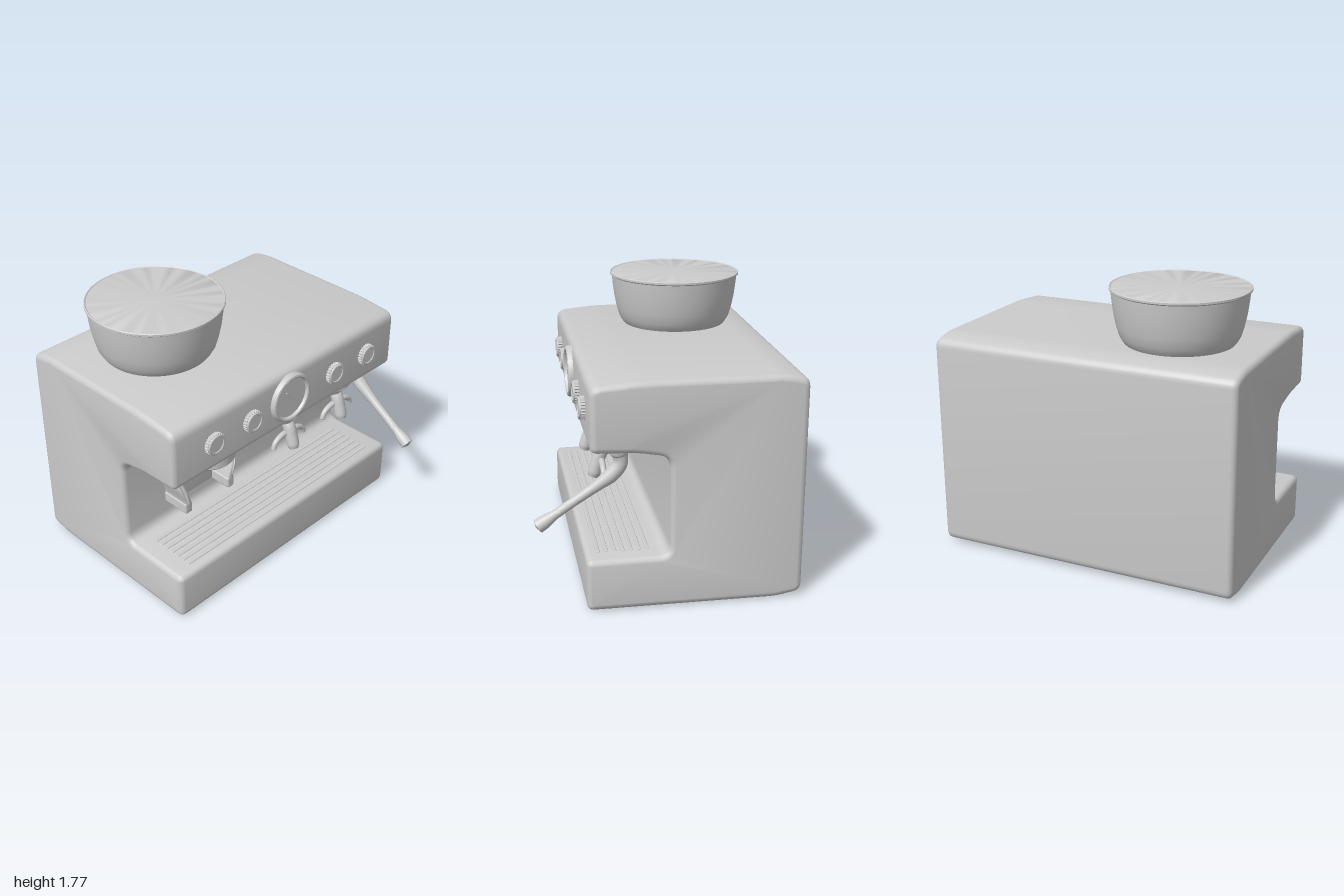
import * as THREE from 'three';
import { toCreasedNormals } from 'three/addons/utils/BufferGeometryUtils.js';
import { RoundedBoxGeometry } from 'three/addons/geometries/RoundedBoxGeometry.js';

const grey = new THREE.MeshStandardMaterial({ color: 0xcccccc });

function add(parent, name, geometry, x = 0, y = 0, z = 0) {
  const mesh = new THREE.Mesh(geometry, grey);
  mesh.name = name;
  mesh.position.set(x, y, z);
  parent.add(mesh);
  return mesh;
}

function group(parent, name, x = 0, y = 0, z = 0) {
  const g = new THREE.Group();
  g.name = name;
  g.position.set(x, y, z);
  parent.add(g);
  return g;
}

// Closed shape from [x, y, cornerRadius] points
function roundedShape(points) {
  const shape = new THREE.Shape();
  points.forEach(([x, y, r = 0], i) => {
    const p = new THREE.Vector2(x, y);
    const toward = (q) => new THREE.Vector2(q[0], q[1]).sub(p).setLength(r).add(p);
    const a = toward(points[(i + points.length - 1) % points.length]);
    const b = toward(points[(i + 1) % points.length]);
    if (i === 0) shape.moveTo(a.x, a.y);
    else shape.lineTo(a.x, a.y);
    if (r > 0) shape.quadraticCurveTo(x, y, b.x, b.y);
  });
  shape.closePath();
  return shape;
}

// Bevelled extrusion centred on its own depth
function slab(shape, depth, bevel, segments = 3) {
  const g = new THREE.ExtrudeGeometry(shape, {
    depth: depth - 2 * bevel, bevelEnabled: bevel > 0, bevelSize: bevel,
    bevelThickness: bevel, bevelOffset: -bevel, bevelSegments: segments, curveSegments: 5,
  });
  g.translate(0, 0, bevel - depth / 2);
  return toCreasedNormals(g, 0.7);
}

function lathe(points, segments = 48) {
  return toCreasedNormals(new THREE.LatheGeometry(points.map((p) => new THREE.Vector2(...p)), segments), 0.6);
}

// Tube along a smooth path whose radius follows a list of values, with closed ends
function taperedTube(points, radii, segments = 32, sides = 16) {
  const curve = new THREE.CatmullRomCurve3(points.map((p) => new THREE.Vector3(...p)));
  const g = new THREE.TubeGeometry(curve, segments, 1, sides);
  const pos = g.attributes.position;
  const v = new THREE.Vector3();
  for (let i = 0; i < pos.count; i++) {
    const t = Math.floor(i / (sides + 1)) / segments;
    const f = t * (radii.length - 1);
    const k = Math.min(Math.floor(f), radii.length - 2);
    let r = THREE.MathUtils.lerp(radii[k], radii[k + 1], f - k);
    if (t === 0 || t === 1) r = 0.0005;
    const c = curve.getPointAt(t);
    v.fromBufferAttribute(pos, i).sub(c).multiplyScalar(r).add(c);
    pos.setXYZ(i, v.x, v.y, v.z);
  }
  return toCreasedNormals(g, 0.9);
}

// Ribbed disc facing +z
function flutedDisc(radius, depth, ribs) {
  const pts = [];
  for (let i = 0; i < ribs * 4; i++) {
    const r = radius * (i % 4 < 2 ? 1 : 0.92);
    const a = (i / (ribs * 4)) * Math.PI * 2;
    pts.push(new THREE.Vector2(r * Math.cos(a), r * Math.sin(a)));
  }
  return new THREE.ExtrudeGeometry(new THREE.Shape(pts), { depth, bevelEnabled: false });
}

export function createModel() {
  const model = new THREE.Group();
  model.name = 'espressoMachine';

  // C-shaped body: side profile as (z, y), extruded across x
  const profile = roundedShape([
    [0.5, 0.005, 0.04], [-0.66, 0, 0.04], [-0.82, 0.03, 0.05], [-0.82, 1.39, 0.05],
    [-0.68, 1.42, 0.06], [0.2, 1.42, 0.06], [0.47, 1.395, 0.06], [0.47, 1.0, 0.04],
    [0.2, 0.99, 0.05], [0, 0.955, 0.07], [0, 0.33, 0.07], [0.5, 0.33, 0.04],
  ]);
  const bodyGeometry = slab(profile, 2, 0.035);
  bodyGeometry.rotateY(-Math.PI / 2);
  add(model, 'body', bodyGeometry);

  // Drip tray bars
  const tray = group(model, 'dripTray', 0, 0.329, 0);
  for (let i = 0; i < 7; i++) {
    add(tray, 'trayBar', new RoundedBoxGeometry(1.74, 0.014, 0.026, 2, 0.006), 0, 0, 0.12 + i * 0.05);
  }

  // Bean hopper with flat lid
  add(model, 'beanHopper', lathe([
    [0, 1.41], [0.335, 1.41], [0.355, 1.435], [0.375, 1.47], [0.392, 1.53], [0.408, 1.61],
    [0.418, 1.69], [0.423, 1.742], [0.434, 1.75], [0.434, 1.762], [0.428, 1.766], [0.422, 1.761], [0, 1.761],
  ], 64), -0.432, 0, -0.285);

  // Control knobs
  for (const x of [-0.68, -0.36, 0.395, 0.715]) {
    const knob = group(model, 'knob', x, 1.195, 0.465);
    add(knob, 'knobGrip', flutedDisc(0.073, 0.032, 24));
    const cap = lathe([[0.068, 0], [0.068, 0.038], [0.063, 0.043], [0.052, 0.043], [0.048, 0.038], [0, 0.038]], 32);
    add(knob, 'knobCap', cap.rotateX(Math.PI / 2));
  }

  // Pressure gauge with raised rim and needle
  const gauge = group(model, 'pressureGauge', -0.025, 1.207, 0.46);
  const rim = lathe([
    [0.166, 0], [0.166, 0.028], [0.16, 0.04], [0.15, 0.044], [0.142, 0.04], [0.136, 0.024], [0, 0.024],
  ], 48);
  add(gauge, 'gaugeRim', rim.rotateX(Math.PI / 2));
  const needle = add(gauge, 'gaugeNeedle', new THREE.BoxGeometry(0.008, 0.14, 0.008), 0, 0, 0.027);
  needle.rotation.z = 0.7;

  // Grinder outlet and its cradle
  const grinder = group(model, 'grinder', -0.548, 0, 0.2);
  add(grinder, 'grinderCollar', lathe([[0, 0.94], [0.165, 0.94], [0.173, 0.95], [0.173, 1.02], [0, 1.02]]), 0, 0, 0.08);
  const neck = flutedDisc(0.112, 0.07, 28).rotateX(-Math.PI / 2);
  add(grinder, 'grinderNeck', neck, 0, 0.89, 0.04);
  add(grinder, 'cradleBack', slab(roundedShape([
    [-0.21, 0.905, 0.01], [-0.19, 0.6, 0.01], [0.19, 0.6, 0.01], [0.21, 0.905, 0.01],
  ]), 0.06, 0.008), 0, 0, -0.075);
  add(grinder, 'cradleShelf', new RoundedBoxGeometry(0.4, 0.025, 0.13, 2, 0.01), 0, 0.9, -0.035);
  for (const side of [-1, 1]) {
    const arm = slab(roundedShape([
      [0.2, 0.91, 0.015], [0.255, 0.91, 0.02], [0.252, 0.8, 0.04], [0.205, 0.675, 0.03],
      [0.208, 0.59, 0.015], [0.155, 0.59, 0.015], [0.16, 0.67, 0.02], [0.2, 0.79, 0.04],
    ].map(([x, y, r]) => [x * side, y, r])), 0.2, 0.012);
    // Lean the front edge back toward the top
    const pos = arm.attributes.position;
    for (let i = 0; i < pos.count; i++) {
      const lean = Math.max(0, (pos.getY(i) - 0.75) / 0.16);
      if (pos.getZ(i) > 0) pos.setZ(i, pos.getZ(i) - lean * 0.06);
    }
    add(grinder, 'cradleArm', toCreasedNormals(arm, 0.7));
    add(grinder, 'cradleFoot', new RoundedBoxGeometry(0.06, 0.08, 0.2, 2, 0.015), side * 0.183, 0.63, 0);
  }

  // Brew heads, each with a handle and twin spouts
  for (const x of [0.108, 0.588]) {
    const head = group(model, 'brewHead', x, 0, 0.28);
    add(head, 'headCollar', lathe([
      [0, 0.88], [0.07, 0.88], [0.1, 0.9], [0.116, 0.945], [0.14, 0.948], [0.146, 0.955], [0.146, 1.02], [0, 1.02],
    ], 40));
    add(head, 'portafilterHandle', taperedTube(
      [[0, 0.91, 0.03], [0, 0.87, 0.075], [0, 0.79, 0.105], [0, 0.705, 0.13]],
      [0.035, 0.04, 0.042, 0.042, 0.042, 0.042, 0.042, 0.03],
    ));
    for (const side of [-1, 1]) {
      add(head, 'spout', taperedTube(
        [[0, 0.82, 0.08], [side * 0.07, 0.818, 0.08], [side * 0.125, 0.79, 0.08], [side * 0.145, 0.74, 0.08]],
        [0.022, 0.02, 0.018, 0.018], 20, 10,
      ));
    }
  }

  // Steam wand
  const wand = group(model, 'steamWand', 0.873, 0, 0);
  add(wand, 'wandCollar', lathe([
    [0, 0.94], [0.04, 0.94], [0.055, 0.955], [0.06, 0.98], [0.06, 1.02], [0, 1.02],
  ], 24), 0, 0, 0.29);
  add(wand, 'wandPipe', taperedTube(
    [[0, 0.99, 0.29], [0, 0.9, 0.28], [0, 0.835, 0.325], [0, 0.77, 0.41], [0, 0.65, 0.59], [0, 0.52, 0.785]],
    [0.05, 0.044, 0.045, 0.044, 0.036, 0.031, 0.029, 0.028, 0.028, 0.029, 0.042, 0.044], 48,
  ));
  return model;
}
